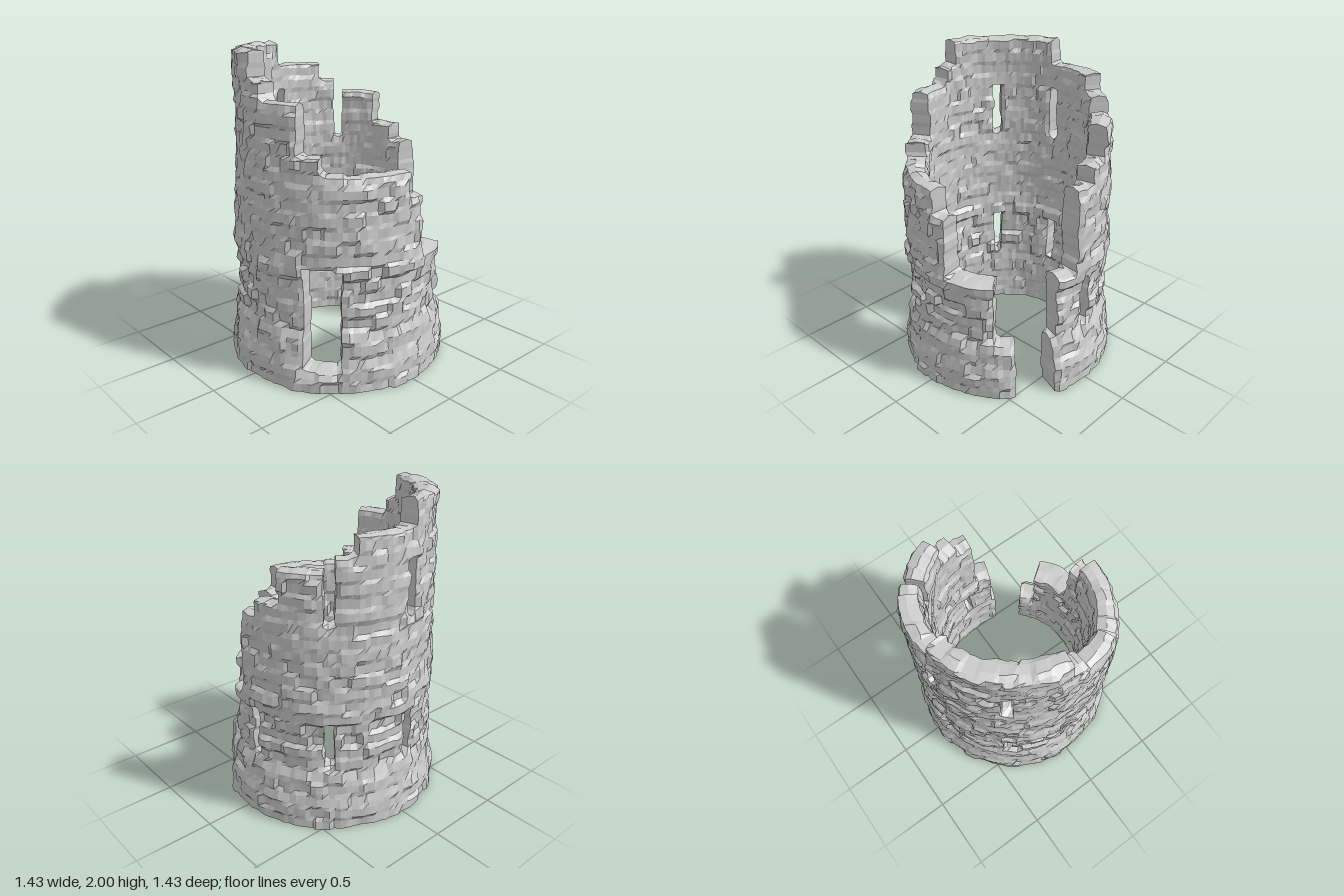
import * as THREE from 'three';

// The wall is a ring lattice: columns of 3 degrees, rows of 0.04, three vertices through its thickness.
// Angles run from the front (+z) towards +x.
const COLS = 120, ROWS = 50, STEP = 360 / COLS, ROW = 2 / ROWS;

// Broken wall top: [end angle, height]
const SKYLINE = [[3, 1.84], [27, 1.72], [39, 1.44], [90, 1.32], [99, 1.16], [126, 0.8], [138, 0.36],
  [159, 0], [162, 0.36], [174, 0.8], [186, 1.32], [201, 1.44], [225, 1.64], [231, 1.32],
  [243, 1.72], [279, 1.84], [354, 2], [360, 1.84]];

// Openings: [start angle, end angle, bottom, top]
const OPENINGS = [[30, 51, 0.12, 0.76]];
for (const a of [180, 225, 273, 318]) OPENINGS.push([a, a + 6, 0.4, 0.72]);
for (const a of [273, 318]) OPENINGS.push([a, a + 6, 1.32, 1.68]);

// Outer radius by height: flared foot, rough lower storey, plainer upper storey
const OUTER = [[0, 0.705], [0.16, 0.7], [0.2, 0.685], [0.34, 0.67], [0.38, 0.645], [0.74, 0.65],
  [0.8, 0.66], [1.3, 0.65], [2, 0.632]];

const SECTIONS = [['footing', 0, 9], ['lowerWall', 9, 20], ['upperWall', 20, ROWS]];

// Repeatable value in -1..1 for a lattice position
function hash(a, b, c) {
  let h = Math.imul(a + 11, 374761393) ^ Math.imul(b + 7, 668265263) ^ Math.imul(c + 3, 1274126177);
  h = Math.imul(h ^ (h >>> 13), 1103515245);
  h = Math.imul(h ^ (h >>> 16), 2246822519);
  return ((h ^ (h >>> 15)) >>> 0) / 2147483648 - 1;
}

function lookup(table, y) {
  for (let n = 1; n < table.length; n++) {
    const [y0, r0] = table[n - 1], [y1, r1] = table[n];
    if (y <= y1) return r0 + (r1 - r0) * (y - y0) / (y1 - y0);
  }
  return table[table.length - 1][1];
}

const wrap = (i) => (i + COLS) % COLS;

function solid(i, j) {
  if (j < 0 || j >= ROWS) return false;
  const a = (wrap(i) + 0.5) * STEP, y = (j + 0.5) * ROW;
  if (y > SKYLINE.find(([end]) => a < end)[1]) return false;
  return !OPENINGS.some(([a0, a1, y0, y1]) => a > a0 && a < a1 && y > y0 && y < y1);
}

// Vertex k: 0 outer face, 1 core, 2 inner face
function vertex(col, j, k) {
  const i = wrap(col);
  const course = Math.floor(j / 2);
  const shift = Math.floor((hash(course, 5, 1) + 1) * 1.5);
  const stone = Math.floor(wrap(i + shift) / 3);
  const level = j * ROW;
  const rough = level > 0.34 && level < 0.84 ? 0.02 : 0.012;

  // Stones in a course step in and out; some whole courses stand proud
  let r = k === 0 ? lookup(OUTER, level) : k === 2 ? 0.508 : 0.58;
  const bump = rough * hash(stone, course, k) + 0.006 * hash(i, j, k + 20)
    + (rough > 0.015 ? 0.01 * hash(course, 2, 9) : 0);
  r += k === 2 ? -0.8 * bump : bump;

  // Narrow joints between stones, with uneven lines
  const edge = wrap(i + shift) % 3 === 2 ? 0.8 : 0;
  const a = THREE.MathUtils.degToRad((i + 0.22 * edge + 0.18 * hash(i, course, 31)) * STEP);
  let y = level;
  if (j > 0) y += (j % 2 ? 0.012 : 0) + 0.005 * hash(stone, j, 40);

  // Worn rims: open tops are rounded and uneven
  const below = solid(i, j - 1) || solid(i - 1, j - 1);
  const above = solid(i, j) || solid(i - 1, j);
  if (below && !above) {
    r += (0.58 - r) * 0.2;
    y += (k === 1 ? 0.002 : -0.012) - 0.012 * (hash(stone, k, 50) + 1) * 0.5;
  } else if (solid(i, j) !== solid(i - 1, j)) {
    r += (0.58 - r) * 0.12;
  }
  return [r * Math.sin(a), Math.max(0, Math.min(y, 2)), r * Math.cos(a)];
}

function buildSection(from, to) {
  const pos = [];
  const quad = (a, b, c, d, flip) => {
    const p = (flip ? [d, c, b, a] : [a, b, c, d]).map((v) => vertex(...v));
    for (const n of [0, 1, 2, 0, 2, 3]) pos.push(...p[n]);
  };
  for (let i = 0; i < COLS; i++) {
    for (let j = from; j < to; j++) {
      if (!solid(i, j)) continue;
      // Outer and inner faces
      for (const k of [0, 2]) quad([i, j, k], [i + 1, j, k], [i + 1, j + 1, k], [i, j + 1, k], k === 2);
      // Exposed tops, undersides and ends through the thickness
      for (const k of [0, 1]) {
        for (const d of [0, 1]) {
          if (!solid(i, d ? j + 1 : j - 1)) {
            quad([i, j + d, k], [i + 1, j + d, k], [i + 1, j + d, k + 1], [i, j + d, k + 1], d === 0);
          }
          if (!solid(d ? i + 1 : i - 1, j)) {
            quad([i + d, j, k], [i + d, j + 1, k], [i + d, j + 1, k + 1], [i + d, j, k + 1], d === 1);
          }
        }
      }
    }
  }
  const geometry = new THREE.BufferGeometry();
  geometry.setAttribute('position', new THREE.Float32BufferAttribute(pos, 3));
  geometry.computeVertexNormals();
  return geometry;
}

export function createModel() {
  const tower = new THREE.Group();
  tower.name = 'ruinedTower';
  const stone = new THREE.MeshStandardMaterial({ color: 0xcccccc, flatShading: true });
  for (const [name, from, to] of SECTIONS) {
    const mesh = new THREE.Mesh(buildSection(from, to), stone);
    mesh.name = name;
    tower.add(mesh);
  }
  return tower;
}
